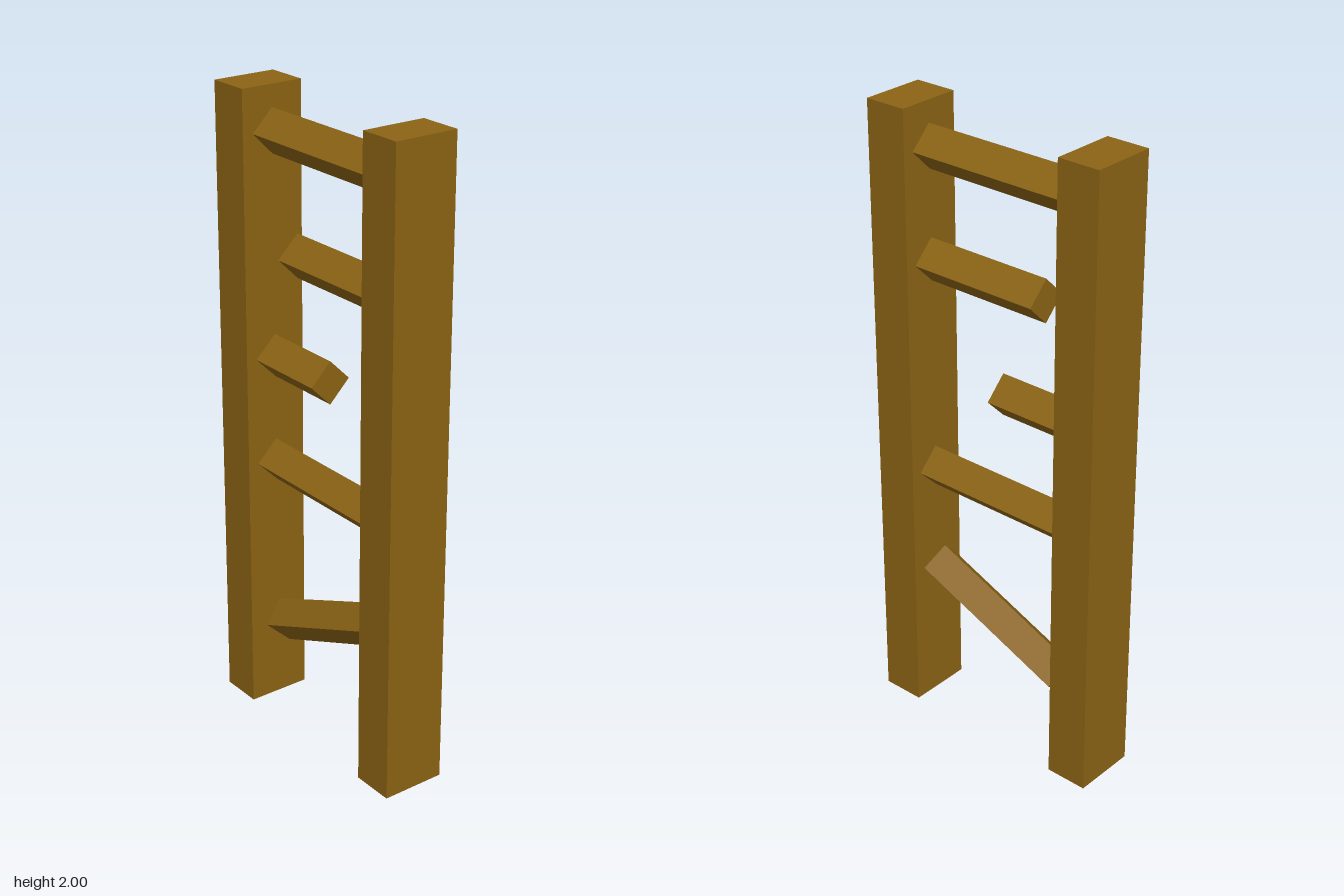
import * as THREE from 'three';

export function createModel() {
  const model = new THREE.Group();
  model.name = 'brokenLadder';
  const wood = new THREE.MeshStandardMaterial({ color: 0x8b6314, flatShading: true });

  const inner = 0.275, outer = 0.412; // post faces in x
  const side = 0.136 / Math.SQRT2;    // square rung, standing on its edge

  // Upright posts
  for (const [name, s] of [['leftPost', 1], ['rightPost', -1]]) {
    const post = new THREE.Mesh(new THREE.BoxGeometry(outer - inner, 2, 0.205), wood);
    post.name = name;
    post.position.set(s * (inner + outer) / 2, 1, 0);
    model.add(post);
  }

  // Diamond-section bar along x, from x0 to x1
  function addRung(name, x0, x1, y, tilt = 0) {
    const geometry = new THREE.BoxGeometry(x1 - x0, side, side).rotateX(Math.PI / 4);
    const rung = new THREE.Mesh(geometry, wood);
    rung.name = name;
    rung.position.set((x0 + x1) / 2, y, 0);
    rung.rotation.z = tilt;
    model.add(rung);
  }

  // Whole rungs, two snapped stubs and one fallen rung
  addRung('topRung', -inner, inner, 1.865);
  addRung('longBrokenRung', -0.157, inner, 1.52);
  addRung('shortBrokenRung', -inner, 0, 1.174);
  addRung('lowerRung', -inner, inner, 0.831);
  addRung('fallenRung', -0.262, 0.289, 0.385, 0.39);

  return model;
}
